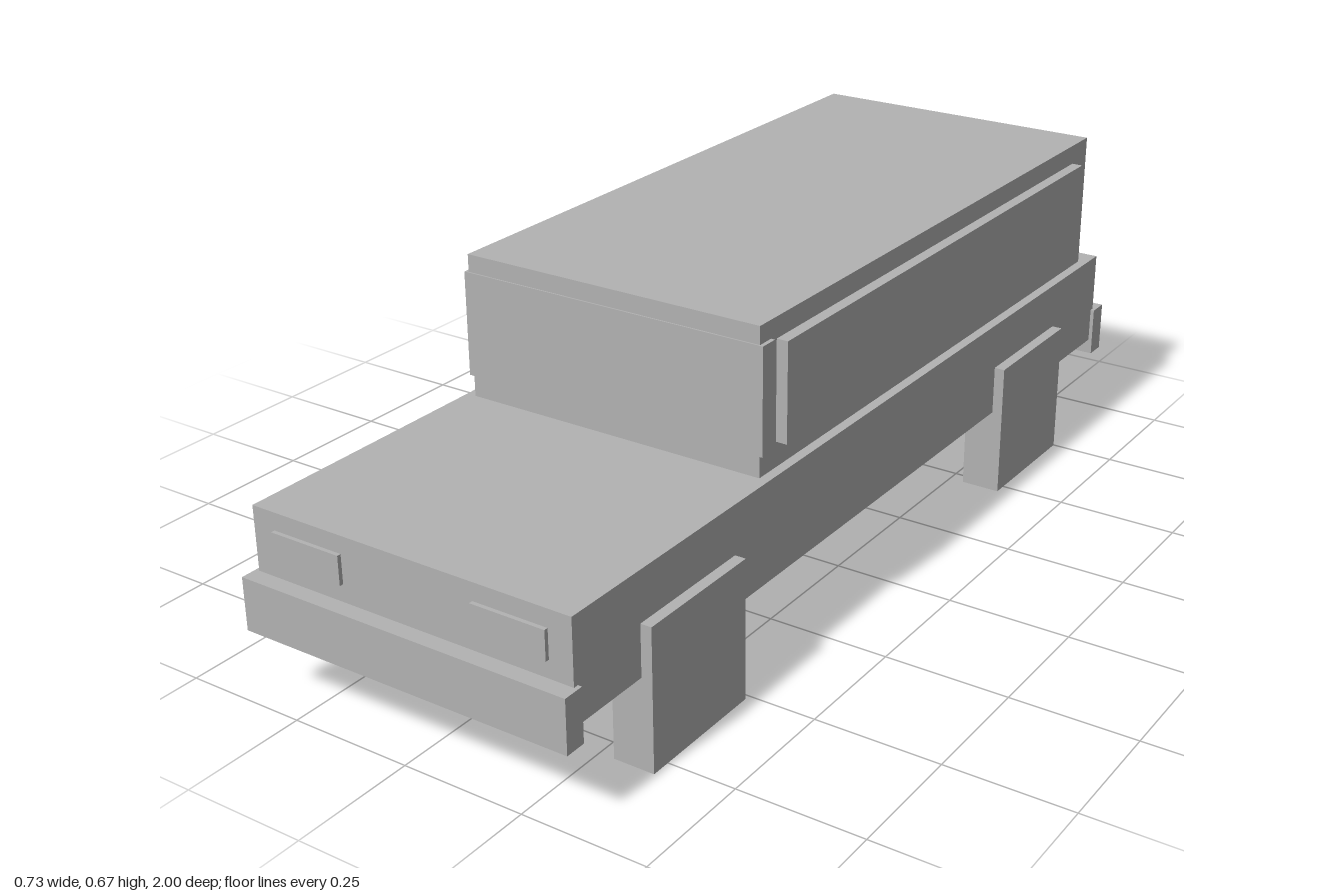
import * as THREE from 'three';

const paint = new THREE.MeshStandardMaterial({ color: 0xb2b2b2, side: THREE.DoubleSide });
paint.name = 'plain grey';

// Hollow box, open underneath, given by its limits on each axis
function shell(name, [x0, x1], [y0, y1], [z0, z1]) {
  const geometry = new THREE.BoxGeometry(x1 - x0, y1 - y0, z1 - z0);
  const index = Array.from(geometry.index.array);
  index.splice(18, 6); // remove the bottom face
  geometry.setIndex(index);
  geometry.clearGroups();
  const mesh = new THREE.Mesh(geometry, paint);
  mesh.name = name;
  mesh.position.set((x0 + x1) / 2, (y0 + y1) / 2, (z0 + z1) / 2);
  return mesh;
}

export function createModel() {
  const model = new THREE.Group();
  model.name = 'boxyCar';

  // Lower body and cabin
  model.add(shell('body', [-0.342, 0.342], [0.18, 0.38], [-0.965, 0.967]));
  model.add(shell('cabin', [-0.322, 0.322], [0.38, 0.667], [-0.911, 0.405]));

  // Bumpers
  model.add(shell('frontBumper', [-0.35, 0.35], [0.148, 0.253], [0.957, 1]));
  model.add(shell('rearBumper', [-0.35, 0.35], [0.148, 0.253], [-1, -0.955]));

  // Front and rear glass
  model.add(shell('windshield', [-0.33, 0.33], [0.423, 0.632], [0.37, 0.408]));
  model.add(shell('rearWindow', [-0.308, 0.308], [0.44, 0.62], [-0.918, -0.909]));

  // Mirrored parts
  for (const side of [1, -1]) {
    const span = (a, b) => (side > 0 ? [a, b] : [-b, -a]);
    const label = side > 0 ? 'left' : 'right';
    model.add(shell(label + 'SideWindow', span(0.32, 0.345), [0.43, 0.626], [-0.842, 0.352]));
    model.add(shell(label + 'Headlight', span(0.142, 0.294), [0.288, 0.345], [0.966, 0.975]));
    model.add(shell(label + 'FrontWheel', span(0.281, 0.364), [0, 0.282], [0.512, 0.79]));
    model.add(shell(label + 'RearWheel', span(0.281, 0.364), [0, 0.282], [-0.75, -0.472]));
  }
  return model;
}
